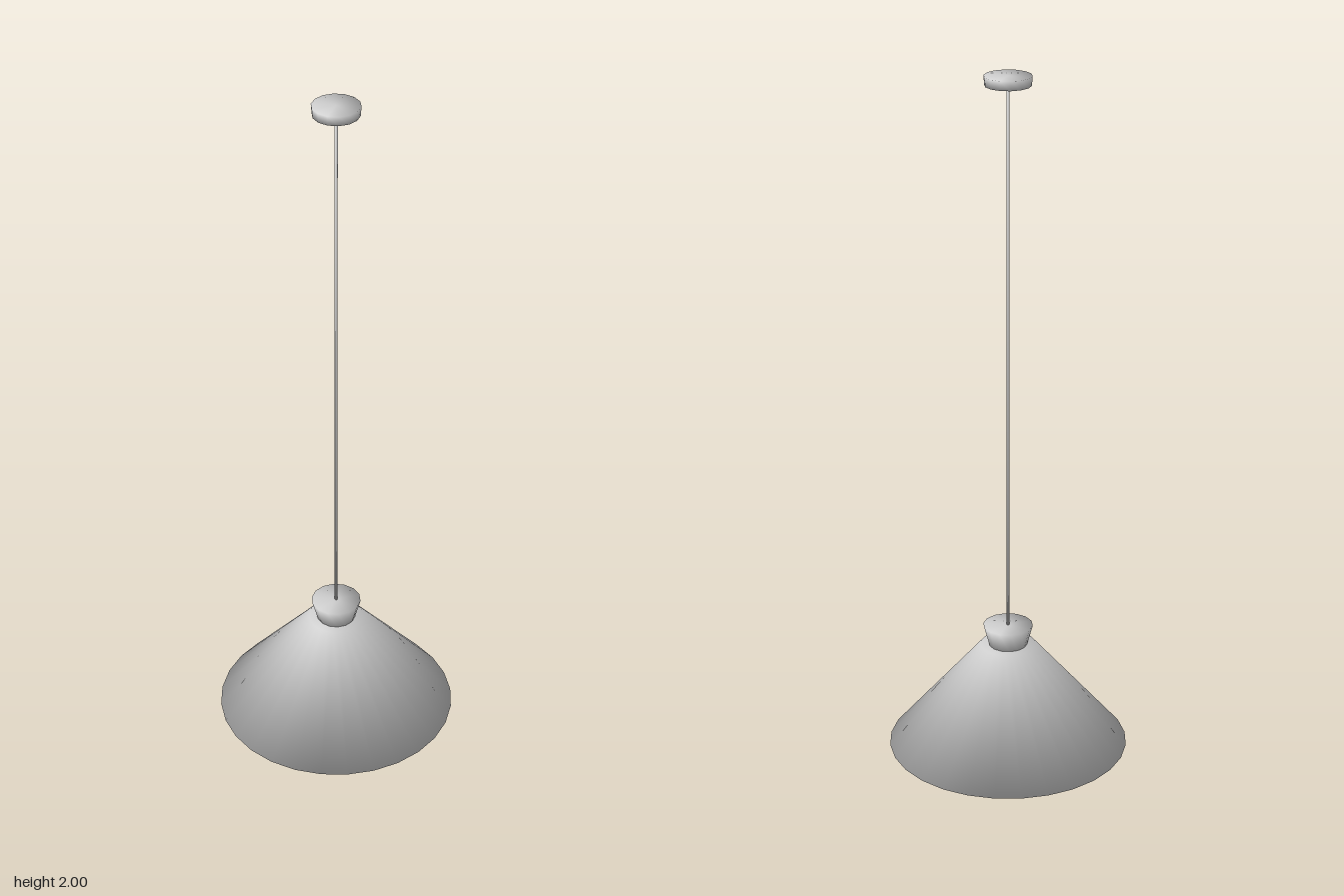
import * as THREE from 'three';

// Closed frustum whose normals blend softly over both rims
function softFrustum(rBottom, rTop, yBottom, yTop, sides) {
  const profile = [[0, yBottom], [rBottom, yBottom], [rTop, yTop], [0, yTop]]
    .map(([r, y]) => new THREE.Vector2(r, y));
  const geometry = new THREE.LatheGeometry(profile, sides);

  const wall = new THREE.Vector2(yTop - yBottom, rBottom - rTop).normalize();
  const low = wall.clone().add(new THREE.Vector2(0, -1)).normalize();
  const high = wall.clone().add(new THREE.Vector2(0, 1)).normalize();
  // Cap centres keep the rim's vertical part, so the caps shade evenly
  const rings = [new THREE.Vector2(0, low.y), low, high, new THREE.Vector2(0, high.y)];
  const normal = geometry.attributes.normal;
  for (let i = 0; i <= sides; i++) {
    const a = (i / sides) * Math.PI * 2;
    rings.forEach((n, j) => normal.setXYZ(i * 4 + j, n.x * Math.sin(a), n.y, n.x * Math.cos(a)));
  }
  return geometry;
}

export function createModel() {
  const lamp = new THREE.Group();
  lamp.name = 'pendantLamp';

  const grey = new THREE.MeshStandardMaterial({ color: 0xcccccc });
  grey.name = 'light grey';

  const add = (name, geometry) => {
    const mesh = new THREE.Mesh(geometry, grey);
    mesh.name = name;
    lamp.add(mesh);
    return mesh;
  };

  // Ceiling mount and hanging cord
  add('ceilingCanopy', softFrustum(0.06, 0.062, 1.975, 2, 14));
  add('cord', softFrustum(0.004, 0.004, 0.45, 1.985, 8));

  // Flared collar above the conical shade
  add('collar', softFrustum(0.051, 0.068, 0.41, 0.473, 14));
  add('shade', softFrustum(0.328, 0.075, 0.119, 0.416, 28));

  // Round bulb showing below the shade
  add('bulb', new THREE.SphereGeometry(0.081, 28, 18)).position.y = 0.081;

  return lamp;
}
